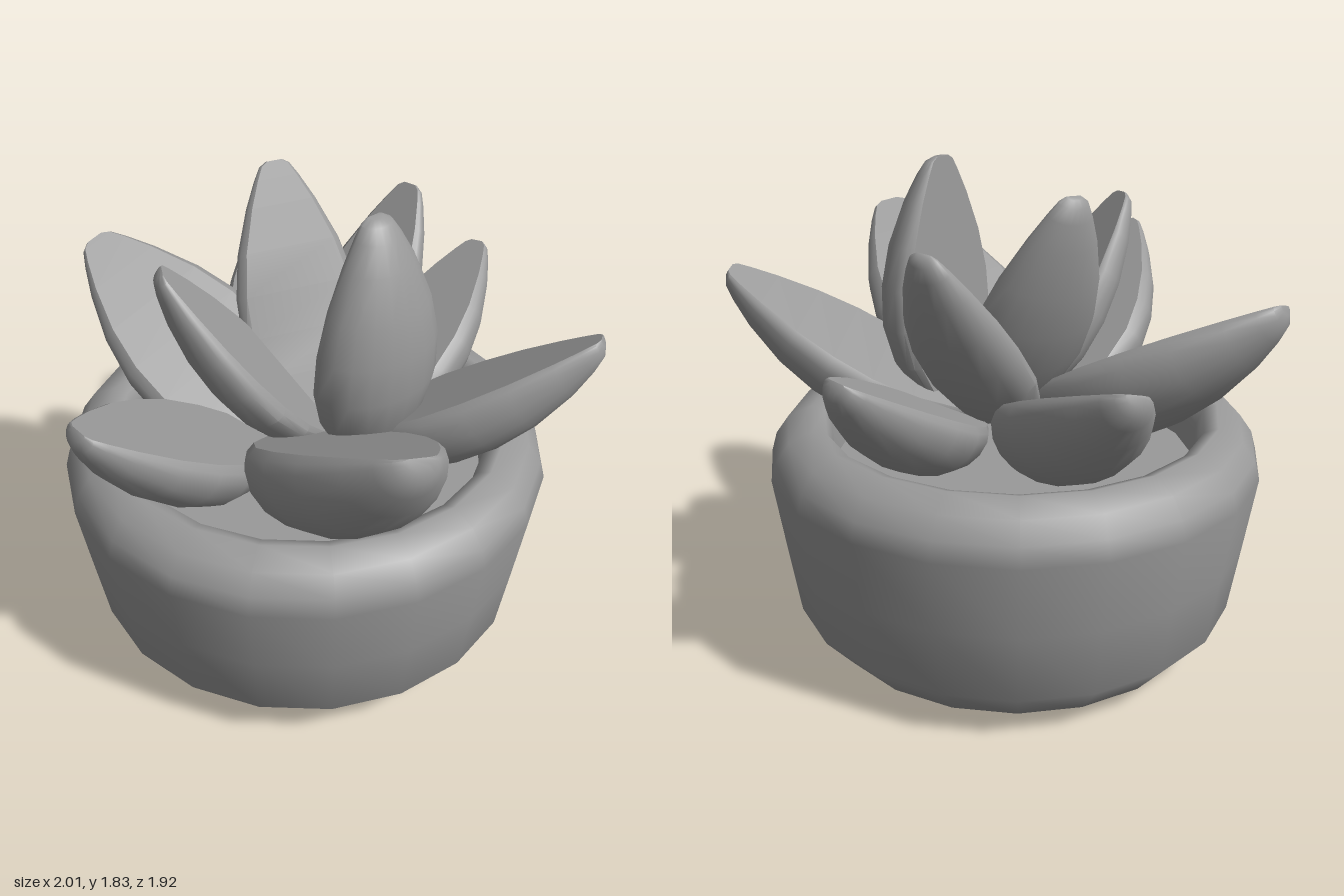
import * as THREE from 'three';
import { toCreasedNormals } from 'three/addons/utils/BufferGeometryUtils.js';

const material = new THREE.MeshStandardMaterial({ color: 0x9a9a9a, side: THREE.DoubleSide });
const POT_X = -0.06, POT_Z = -0.025;

// Leaf stations: [position along leaf, width factor, depth factor]
const STATIONS = [
  [0, 0.15, 0.25], [0.1, 0.48, 0.58], [0.25, 0.84, 0.9], [0.4, 1, 1], [0.55, 0.97, 0.98],
  [0.7, 0.82, 0.85], [0.85, 0.56, 0.61], [0.94, 0.36, 0.4], [0.985, 0.24, 0.26], [1, 0.13, 0.13],
];

// Cross-section: flat top, softly turned rims and a rounded underside
function leafSection() {
  const points = [[0.86, 0], [0.96, -0.09]];
  const steps = 10;
  for (let i = 0; i <= steps; i++) {
    const a = (i / steps) * Math.PI;
    points.push([Math.cos(a), -0.22 - 0.78 * Math.sin(a)]);
  }
  points.push([-0.96, -0.09], [-0.86, 0]);
  return points;
}

// Fleshy leaf from base to tip, its flat face turned up and inward, rolled about its length
function leafGeometry(base, tip, halfWidth, depth, roll) {
  const start = new THREE.Vector3(...base);
  const along = new THREE.Vector3(...tip).sub(start);
  const u = along.clone().normalize();
  const side = new THREE.Vector3().crossVectors(u, new THREE.Vector3(0, 1, 0)).normalize();
  side.applyAxisAngle(u, roll);
  const normal = new THREE.Vector3().crossVectors(side, u);
  const section = leafSection();
  const n = section.length;
  const positions = [], index = [];

  for (const [t, w, d] of STATIONS) {
    for (const [sx, sy] of section) {
      const p = start.clone().addScaledVector(along, t)
        .addScaledVector(side, sx * w * halfWidth)
        .addScaledVector(normal, sy * d * depth);
      positions.push(p.x, p.y, p.z);
    }
  }
  const rings = STATIONS.length;
  for (let i = 0; i < rings - 1; i++) {
    for (let j = 0; j < n; j++) {
      const k = (j + 1) % n;
      const a = i * n + j, b = i * n + k;
      index.push(a, b, b + n, a, b + n, a + n);
    }
  }
  // End caps
  const last = (rings - 1) * n;
  for (let j = 1; j < n - 1; j++) {
    index.push(0, j + 1, j, last, last + j, last + j + 1);
  }
  const geometry = new THREE.BufferGeometry();
  geometry.setAttribute('position', new THREE.Float32BufferAttribute(positions, 3));
  geometry.setIndex(index);
  return toCreasedNormals(geometry, 0.62);
}

// Leaves: [base, tip, half width, depth, roll]
const OUTER_LEAVES = [
  [[-0.05, 0.86, 0.12], [-0.97, 1.4, -0.34], 0.3, 0.28, -0.32],
  [[-0.1, 0.84, 0.03], [-0.4, 1.3, -0.91], 0.25, 0.27, -0.2],
  [[0.08, 0.84, 0.02], [0.5, 1.3, -0.8], 0.23, 0.25, -0.2],
  [[0.06, 0.88, 0.03], [0.99, 1.43, 0.06], 0.235, 0.26, -0.2],
  [[-0.09, 0.9, 0.1], [0.47, 1.5, 0.92], 0.32, 0.32, -0.15],
  [[-0.17, 0.85, 0.05], [-0.57, 1.42, 0.89], 0.25, 0.26, -0.2],
];
const INNER_LEAVES = [
  [[0.155, 0.82, 0.065], [0.2, 1.83, 0.1], 0.26, 0.24, 0],
  [[0.04, 0.85, 0.04], [-0.24, 1.78, -0.36], 0.24, 0.19, -0.1],
  [[-0.08, 0.85, 0.02], [0.24, 1.64, -0.56], 0.23, 0.19, -0.1],
  [[0.08, 0.85, 0], [-0.47, 1.66, 0.3], 0.24, 0.2, -0.1],
];

export function createModel() {
  const model = new THREE.Group();
  model.name = 'pottedSucculent';

  // Pot: outer wall, rounded rim and inner wall, open at the bottom
  const profile = [
    [0.575, 0], [0.74, 0.05], [0.85, 0.18], [0.89, 0.45], [0.93, 0.73], [0.91, 0.8],
    [0.86, 0.87], [0.77, 0.91], [0.72, 0.89], [0.695, 0.83], [0.69, 0.7], [0.64, 0.2], [0.575, 0],
  ].map(([r, y]) => new THREE.Vector2(r, y));
  const pot = new THREE.Mesh(new THREE.LatheGeometry(profile, 20), material);
  pot.name = 'pot';
  pot.position.set(POT_X, 0, POT_Z);
  model.add(pot);

  // Soil disc inside the pot
  const soil = new THREE.Mesh(new THREE.CircleGeometry(0.69, 20), material);
  soil.name = 'soil';
  soil.rotation.x = -Math.PI / 2;
  soil.position.set(POT_X, 0.7, POT_Z);
  model.add(soil);

  // Rosette of leaves
  for (const [name, leaves] of [['outerLeaf', OUTER_LEAVES], ['innerLeaf', INNER_LEAVES]]) {
    leaves.forEach((leaf, i) => {
      const mesh = new THREE.Mesh(leafGeometry(...leaf), material);
      mesh.name = `${name}${i + 1}`;
      model.add(mesh);
    });
  }
  return model;
}
